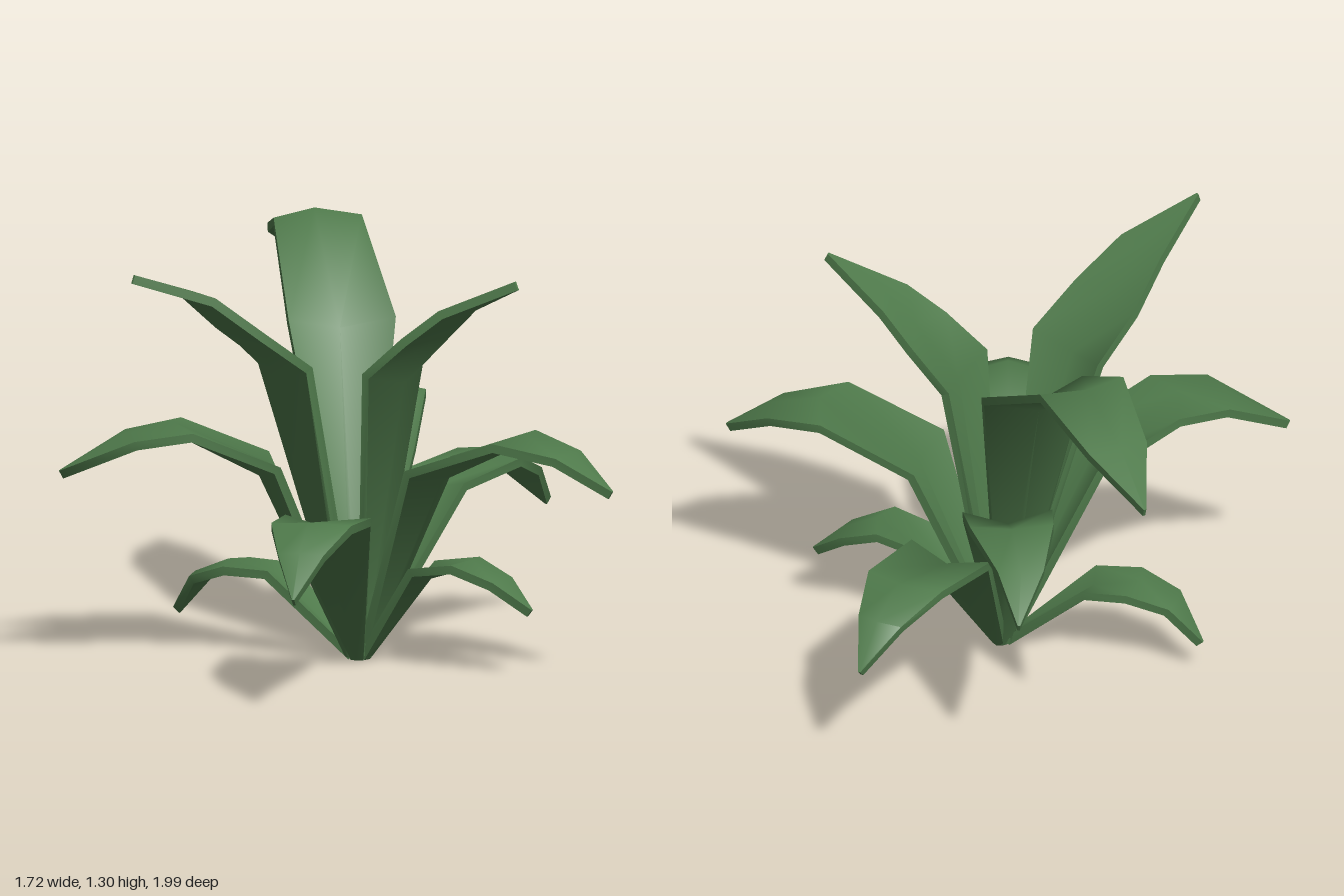
import * as THREE from 'three';
import { toCreasedNormals } from 'three/addons/utils/BufferGeometryUtils.js';

const THICK = 0.028;
const HEART = new THREE.Vector3(0.06, 0, 0.15); // where all leaves meet

// Each leaf: midline points after the base as [x, y, z, half width], ending at the tip
const LEAVES = {
  tallBackLeaf: [[0.08, 1.04, -0.06, 0.17], [0.15, 1.285, -0.48, 0.14], [0.185, 1.215, -0.76, 0.097], [0.23, 1.13, -1.0, 0.004]],
  tallRightLeaf: [[-0.19, 0.97, 0.19, 0.15], [-0.35, 1.09, 0.22, 0.135], [-0.5, 1.21, 0.25, 0.092], [-0.74, 1.295, 0.31, 0.004]],
  tallFrontLeaf: [[0.12, 0.94, 0.26, 0.145], [0.2, 1.06, 0.36, 0.125], [0.27, 1.155, 0.45, 0.09], [0.4, 1.26, 0.64, 0.004]],
  middleRightLeaf: [[-0.2, 0.64, 0.1, 0.14], [-0.48, 0.76, 0.07, 0.14], [-0.66, 0.735, 0.045, 0.11], [-0.86, 0.62, -0.05, 0.004]],
  middleBackLeaf: [[0.18, 0.63, -0.08, 0.14], [0.32, 0.755, -0.34, 0.13], [0.4, 0.715, -0.53, 0.072], [0.49, 0.615, -0.67, 0.004]],
  middleFrontLeaf: [[0.22, 0.64, 0.33, 0.145], [0.42, 0.755, 0.57, 0.138], [0.55, 0.715, 0.71, 0.08], [0.65, 0.615, 0.84, 0.004]],
  lowLeftLeaf: [[0.36, 0.52, -0.04, 0.14], [0.61, 0.56, -0.18, 0.13], [0.75, 0.5, -0.26, 0.075], [0.86, 0.38, -0.32, 0.004]],
  lowFrontLeaf: [[-0.16, 0.525, 0.48, 0.137], [-0.31, 0.555, 0.74, 0.127], [-0.395, 0.49, 0.88, 0.073], [-0.46, 0.37, 0.99, 0.004]],
  smallBackLeaf: [[-0.13, 0.27, -0.05, 0.085], [-0.24, 0.275, -0.145, 0.09], [-0.33, 0.23, -0.24, 0.063], [-0.38, 0.11, -0.33, 0.004]],
  smallFrontLeaf: [[0.205, 0.32, 0.32, 0.082], [0.3, 0.35, 0.46, 0.088], [0.39, 0.3, 0.55, 0.06], [0.46, 0.215, 0.63, 0.004]],
};
// How far the midrib runs ahead of the edges and rises above them, relative to a leaf 0.14 half wide
const LEAD = [0.01, 0.03, 0.045, 0.02, 0];
const RISE = [0, -0.03, 0.014, 0.008, 0];

// Thick leaf lofted through six-point rings: left, midrib, right on top, then the underside
function leafGeometry(stations) {
  const tip = stations[stations.length - 1];
  const scale = stations[0][3] / 0.14;
  const out = new THREE.Vector3(tip[0], 0, tip[2]).sub(HEART).setY(0).normalize();
  const side = new THREE.Vector3().crossVectors(out, new THREE.Vector3(0, 1, 0));
  const base = HEART.clone().addScaledVector(out, 0.008);
  const rows = [[base.x, 0.02, base.z, 0.02], ...stations];
  const mids = rows.map(r => new THREE.Vector3(r[0], r[1], r[2]));
  const pos = [], index = [];
  rows.forEach((row, i) => {
    const a = mids[Math.max(i - 1, 0)], b = mids[Math.min(i + 1, rows.length - 1)];
    const before = mids[i].clone().sub(a).normalize(), after = b.clone().sub(mids[i]).normalize();
    const along = before.add(after).normalize();
    const under = new THREE.Vector3().crossVectors(along, side).normalize().multiplyScalar(THICK);
    const top = [-1, 0, 1].map(s => {
      const p = mids[i].clone().addScaledVector(side, s * row[3]);
      if (s === 0) p.addScaledVector(out, LEAD[i] * scale).setY(p.y + RISE[i] * scale);
      return p;
    });
    const bottom = top.map(p => p.clone().add(under)).reverse();
    [...top, ...bottom].forEach(p => pos.push(p.x, Math.max(p.y, 0), p.z));
  });
  for (let i = 0; i < rows.length - 1; i++) {
    for (let j = 0; j < 6; j++) {
      const a = i * 6 + j, b = i * 6 + (j + 1) % 6;
      index.push(a, b, b + 6, a, b + 6, a + 6);
    }
  }
  // End caps
  const e = (rows.length - 1) * 6;
  for (const [p, q, r] of [[0, 1, 4], [0, 4, 5], [1, 2, 3], [1, 3, 4]]) {
    index.push(r, q, p, e + p, e + q, e + r);
  }
  const geometry = new THREE.BufferGeometry();
  geometry.setAttribute('position', new THREE.Float32BufferAttribute(pos, 3));
  geometry.setIndex(index);
  return toCreasedNormals(geometry, 1.1);
}

export function createModel() {
  const plant = new THREE.Group();
  plant.name = 'leafyPlant';
  const green = new THREE.MeshStandardMaterial({ color: 0x4f7a4b });
  green.name = 'leaf green';
  for (const [name, stations] of Object.entries(LEAVES)) {
    const leaf = new THREE.Mesh(leafGeometry(stations), green);
    leaf.name = name;
    plant.add(leaf);
  }
  return plant;
}
